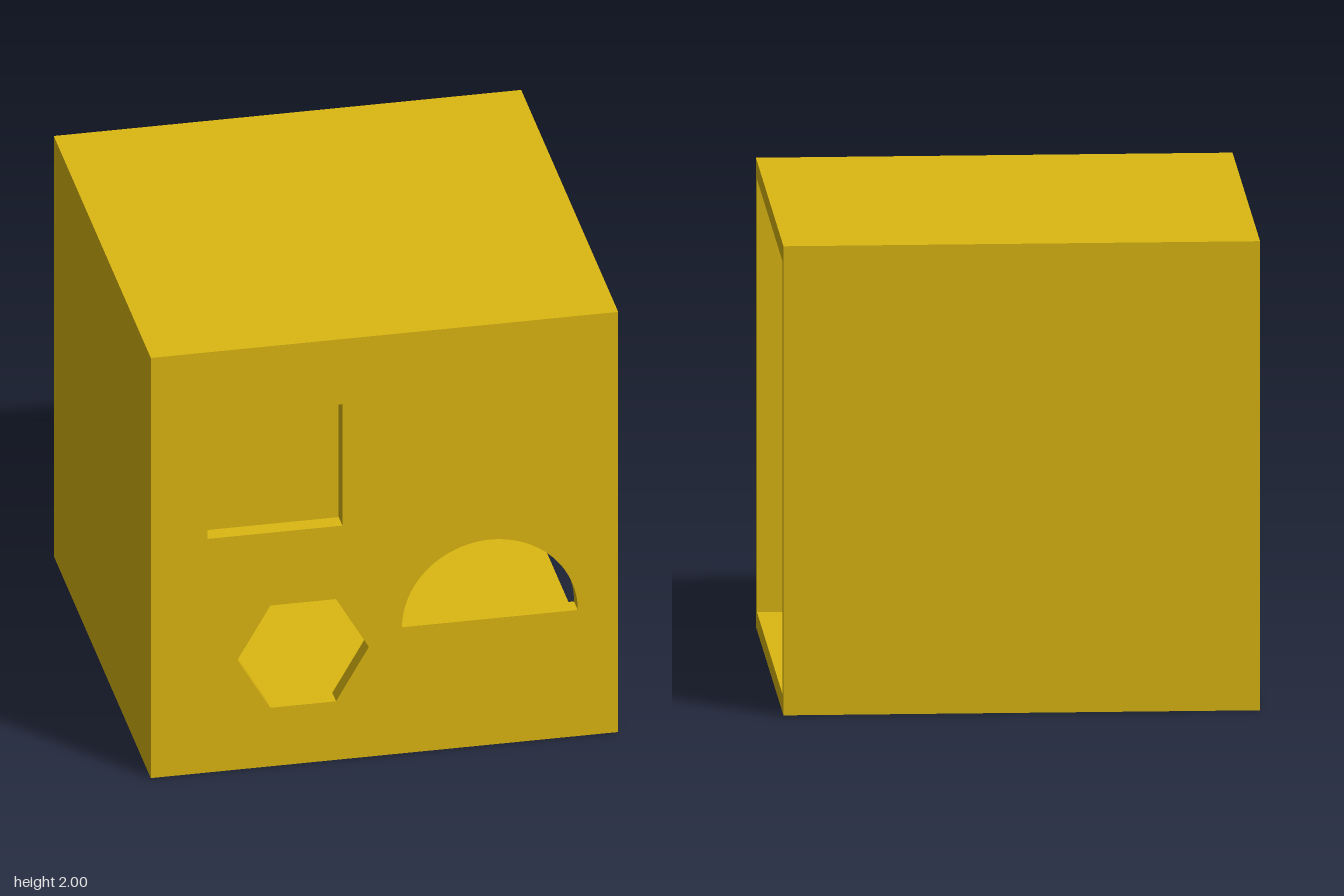
import * as THREE from 'three';

const WALL = 0.077;
const INNER = 2 - 2 * WALL;

// Closed outline from a list of [x, y] corners
const outline = (corners, Type) => new Type(corners.map(([x, y]) => new THREE.Vector2(x, y)));

const rect = (x0, y0, x1, y1) => [[x0, y0], [x1, y0], [x1, y1], [x0, y1]];

// Points along an arc, for the hexagon and the half circle
const arc = (cx, cy, r, sweep, steps, count) =>
  Array.from({ length: count }, (_, i) => {
    const a = (i / steps) * sweep;
    return [cx + r * Math.cos(a), cy + r * Math.sin(a)];
  });

export function createModel() {
  const group = new THREE.Group();
  group.name = 'shapeSorterBox';
  const material = new THREE.MeshStandardMaterial({ color: 0xdcb711 });

  const add = (name, geometry, x, y, z) => {
    const mesh = new THREE.Mesh(geometry, material);
    mesh.name = name;
    mesh.position.set(x, y, z);
    group.add(mesh);
  };

  // Front panel with square, hexagonal and half-round holes
  const front = outline(rect(-1, 0, 1, 2), THREE.Shape);
  front.holes.push(
    outline(rect(-0.757, 1.112, -0.18, 1.69), THREE.Path),
    outline(arc(-0.348, 0.522, 0.281, Math.PI * 2, 6, 6), THREE.Path),
    outline(arc(0.451, 0.6, 0.376, Math.PI, 48, 49), THREE.Path),
  );
  add('frontPanel', new THREE.ExtrudeGeometry(front, { depth: WALL, bevelEnabled: false }), 0, 0, 1 - WALL);

  // Plain panels; the +x side stays open
  add('backPanel', new THREE.BoxGeometry(2, 2, WALL), 0, 1, -1 + WALL / 2);
  add('floorPanel', new THREE.BoxGeometry(2, WALL, INNER), 0, WALL / 2, 0);
  add('topPanel', new THREE.BoxGeometry(2, WALL, INNER), 0, 2 - WALL / 2, 0);
  add('closedSidePanel', new THREE.BoxGeometry(WALL, INNER, INNER), -1 + WALL / 2, 1, 0);

  return group;
}
